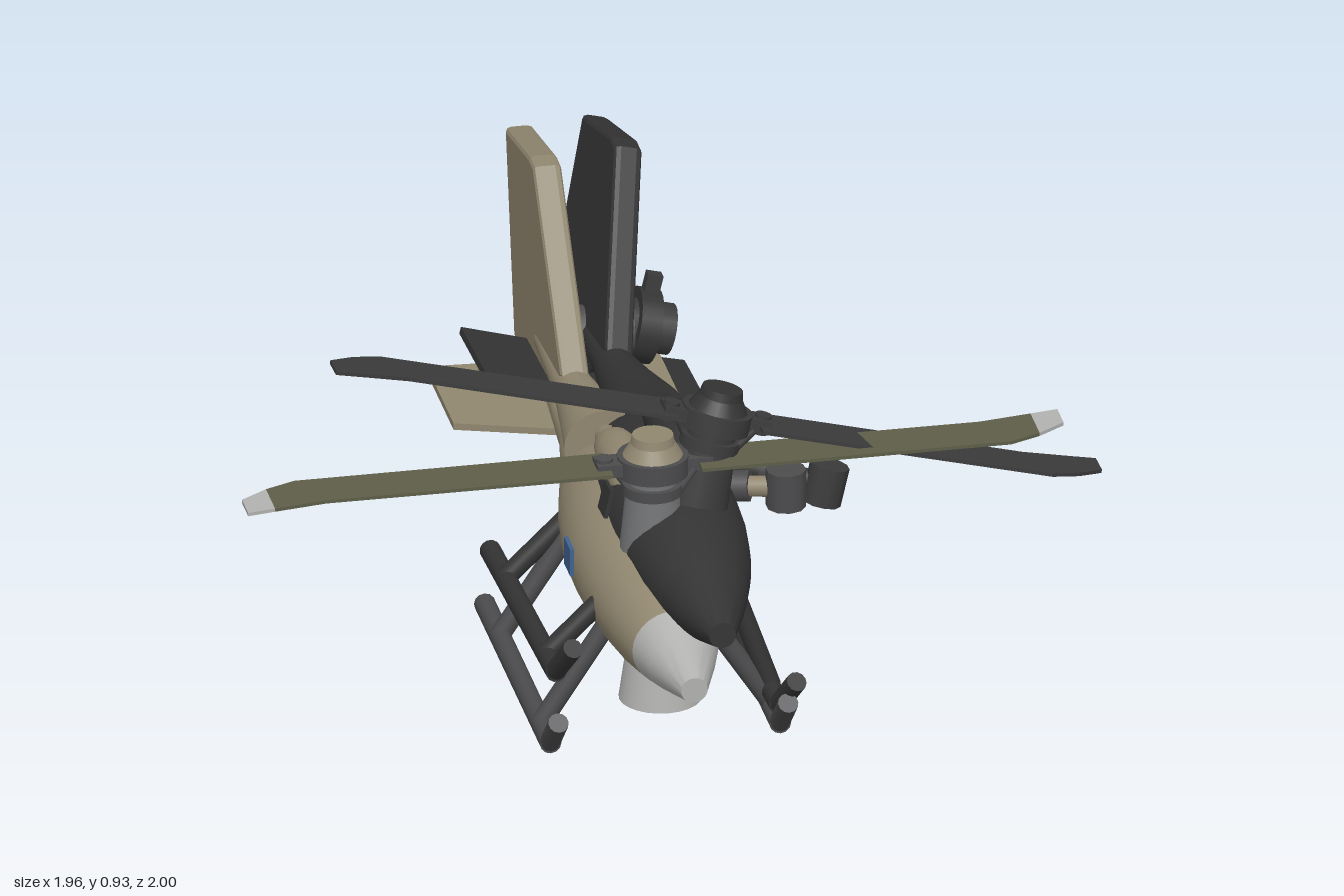
import * as THREE from 'three';
import { toCreasedNormals } from 'three/addons/utils/BufferGeometryUtils.js';

const mat = (name, color) => {
  const m = new THREE.MeshStandardMaterial({ color });
  m.name = name;
  return m;
};

// closed tube of elliptical rings, each ring is [z, centreY, radiusX, radiusY]
function loft(rings, n = 28) {
  const all = [[rings[0][0], rings[0][1], 0, 0], ...rings];
  const last = rings[rings.length - 1];
  all.push([last[0], last[1], 0, 0]);
  const pos = [], idx = [];
  all.forEach(([z, y, rx, ry], r) => {
    for (let i = 0; i < n; i++) {
      const a = (i / n) * Math.PI * 2;
      pos.push(Math.cos(a) * rx, y + Math.sin(a) * ry, z);
      if (r === all.length - 1) continue;
      const A = r * n + i, B = r * n + ((i + 1) % n);
      if (r > 0) idx.push(A, A + n, B);
      if (r < all.length - 2) idx.push(B, A + n, B + n);
      else idx.push(B, A + n, B + n);
    }
  });
  const g = new THREE.BufferGeometry();
  g.setAttribute('position', new THREE.Float32BufferAttribute(pos, 3));
  g.setIndex(idx);
  return toCreasedNormals(g, 0.7);
}

const shapeOf = (pts) => new THREE.Shape(pts.map(([x, y]) => new THREE.Vector2(x, y)));

// horizontal plate from [x, z] points
function plate(pts, thickness) {
  const g = new THREE.ExtrudeGeometry(shapeOf(pts), { depth: thickness, bevelEnabled: false });
  return g.translate(0, 0, -thickness / 2).rotateX(Math.PI / 2);
}

// round bar between two points
function bar(a, b, r, sides = 12) {
  const p = new THREE.Vector3(...a), q = new THREE.Vector3(...b);
  const g = new THREE.CylinderGeometry(r, r, p.distanceTo(q), sides);
  const dir = q.clone().sub(p).normalize();
  g.applyQuaternion(new THREE.Quaternion().setFromUnitVectors(new THREE.Vector3(0, 1, 0), dir));
  const mid = p.add(q).multiplyScalar(0.5);
  return g.translate(mid.x, mid.y, mid.z);
}

function helicopter(name, c, rotorScale) {
  const group = new THREE.Group();
  group.name = name;
  const add = (part, geo, material, parent = group) => {
    const m = new THREE.Mesh(geo, material);
    m.name = part;
    parent.add(m);
    return m;
  };
  const drum = (part, rTop, rBottom, h, x, y, z, material, parent) =>
    add(part, new THREE.CylinderGeometry(rTop, rBottom, h, 24).translate(x, y, z), material, parent);

  // fuselage
  add('nose', loft([
    [1.0, 0.28, 0.03, 0.03], [0.94, 0.281, 0.05, 0.048], [0.87, 0.283, 0.074, 0.069], [0.79, 0.287, 0.098, 0.092],
  ]), c.nose);
  add('fuselage', loft([
    [0.79, 0.287, 0.098, 0.092], [0.7, 0.295, 0.122, 0.113], [0.6, 0.302, 0.14, 0.129], [0.5, 0.308, 0.151, 0.138],
    [0.38, 0.312, 0.156, 0.144], [0.26, 0.313, 0.15, 0.145], [0.14, 0.315, 0.134, 0.136], [0.02, 0.317, 0.108, 0.112],
    [-0.1, 0.315, 0.08, 0.08], [-0.25, 0.312, 0.052, 0.052], [-0.45, 0.31, 0.038, 0.038], [-0.72, 0.31, 0.025, 0.025],
  ]), c.body);
  add('tailBoom', loft([
    [-0.01, 0.412, 0.09, 0.084], [-0.18, 0.403, 0.066, 0.062], [-0.36, 0.395, 0.045, 0.043], [-0.62, 0.39, 0.035, 0.035],
  ]), c.body);

  // engine cowl with exhaust pipe
  add('engineCowl', loft([
    [0.42, 0.46, 0.025, 0.02], [0.38, 0.468, 0.046, 0.042], [0.32, 0.474, 0.054, 0.052],
    [0.16, 0.472, 0.054, 0.052], [0.1, 0.466, 0.045, 0.042], [0.06, 0.46, 0.03, 0.028],
  ], 18), c.body);
  add('exhaustPipe', bar([0, 0.46, 0.09], [0, 0.448, 0.02], 0.027, 14), c.body);

  // tail fin, side profile as [-z, y]
  const fin = new THREE.ExtrudeGeometry(shapeOf([
    [0.34, 0.435], [0.645, 0.795], [0.69, 0.797], [0.945, 0.747], [0.85, 0.295], [0.46, 0.325],
  ]), { depth: 0.036, bevelThickness: 0.014, bevelSize: 0.01, bevelSegments: 2 });
  add('tailFin', fin.translate(0, 0, -0.018).rotateY(Math.PI / 2), c.body);

  // stabilisers
  for (const s of [1, -1]) {
    add('stabiliser', plate([[0, -0.33], [s * 0.05, -0.335], [s * 0.26, -0.405], [s * 0.26, -0.705], [0, -0.69]], 0.016)
      .translate(0, 0.298, 0), c.body);
  }

  // tail rotor housing on the side of the fin
  const pz = -0.6, py = 0.41;
  add('tailPod', bar([0.02, py, pz], [0.1, py, pz], 0.06, 20), c.hub);
  add('tailPodRing', bar([0.09, py, pz], [0.14, py, pz], 0.085, 24), c.body);
  add('tailPodCap', bar([0.14, py, pz], [0.18, py, pz], 0.058, 20), c.hub);
  add('tailPodKnob', new THREE.BoxGeometry(0.035, 0.05, 0.03).translate(0.115, py + 0.1, pz), c.hub);

  // mast and rotor
  const rotor = new THREE.Group();
  rotor.name = 'rotor';
  rotor.position.set(0, 0, 0.535);
  group.add(rotor);
  drum('mast', 0.06, 0.075, 0.15, 0, 0.485, 0, c.metal, rotor);
  drum('mastCollar', 0.068, 0.068, 0.025, 0, 0.565, 0, c.hub, rotor);
  drum('swashplate', 0.055, 0.055, 0.03, 0, 0.585, 0, c.metal, rotor);
  drum('rotorHub', 0.08, 0.08, 0.045, 0, 0.622, 0, c.hub, rotor);
  drum('rotorCap', 0.05, 0.068, 0.03, 0, 0.658, 0, c.body, rotor);
  drum('rotorCapTop', 0.046, 0.05, 0.022, 0, 0.682, 0, c.body, rotor);
  for (const s of [0, 1]) {
    const arm = new THREE.Group();
    arm.name = 'rotorBlade';
    arm.rotation.y = s * Math.PI;
    arm.scale.x = rotorScale;
    arm.position.y = 0.623;
    rotor.add(arm);
    add('bladeGrip', new THREE.BoxGeometry(0.06, 0.03, 0.06).translate(0.1, 0, 0), c.hub, arm);
    add('bladePin', new THREE.CylinderGeometry(0.02, 0.02, 0.045, 12).translate(0.11, 0, 0), c.hub, arm);
    add('gripLink', bar([0.09, -0.01, 0.025], [0.055, -0.06, 0.025], 0.009, 8), c.hub, arm);
    add('blade', plate([[0.1, -0.055], [0.75, -0.055], [0.87, -0.074], [0.87, 0.028], [0.8, 0.058], [0.1, 0.062]], 0.008),
      c.blade, arm);
    add('bladeTip', plate([[0.87, -0.074], [0.933, -0.085], [0.933, -0.015], [0.87, 0.028]], 0.008), c.tip, arm);
  }

  // landing gear
  for (const s of [1, -1]) {
    const x = s * 0.26;
    add('skid', bar([x, 0.025, 0.68], [x, 0.025, -0.06], 0.024), c.skid);
    add('skidTip', bar([x, 0.025, 0.67], [x, 0.115, 0.765], 0.023), c.skid);
    for (const z of [0.575, 0.115]) {
      add('strut', bar([s * 0.09, 0.29, z], [x, 0.03, z], 0.023), c.skid);
    }
  }

  // belly sensor
  drum('bellySensor', 0.076, 0.093, 0.12, 0, 0.15, 0.62, c.nose);

  // side arm with an upright pod
  add('sideArm', bar([0.1, 0.41, 0.22], [0.34, 0.43, 0.315], 0.024), c.body);
  add('armCollar', bar([0.21, 0.42, 0.263], [0.27, 0.425, 0.287], 0.036), c.hub);
  add('armPod', new THREE.CylinderGeometry(0.045, 0.045, 0.09, 10).translate(0.345, 0.43, 0.32), c.hub);

  // side window plate
  add('sidePanel', new THREE.BoxGeometry(0.009, 0.065, 0.07).translate(-0.162, 0.345, 0.4), c.panel);
  return group;
}

export function createModel() {
  const tan = mat('tan', 0x918770);
  const lightGrey = mat('lightGrey', 0xb2b2b0);
  const grey = mat('grey', 0x727476);
  const midGrey = mat('midGrey', 0x4c4c4e);
  const olive = mat('olive', 0x5e5e49);
  const blue = mat('blue', 0x3f638f);
  const charcoal = mat('charcoal', 0x343434);
  const darkGrey = mat('darkGrey', 0x3b3b3b);

  const model = new THREE.Group();
  model.name = 'helicopterPair';

  // level tan machine
  const first = helicopter('tanHelicopter', {
    body: tan, nose: lightGrey, metal: grey, hub: midGrey, skid: midGrey, blade: olive, tip: lightGrey, panel: blue,
  }, 1);
  first.position.x = -0.048;

  // banked dark machine, nose slightly up
  const second = helicopter('darkHelicopter', {
    body: charcoal, nose: charcoal, metal: darkGrey, hub: darkGrey, skid: charcoal,
    blade: darkGrey, tip: darkGrey, panel: charcoal,
  }, 0.965);
  second.position.set(-0.048, 0.069, 0);
  second.rotation.set(-0.06, 0, -0.244);

  model.add(first, second);
  return model;
}
